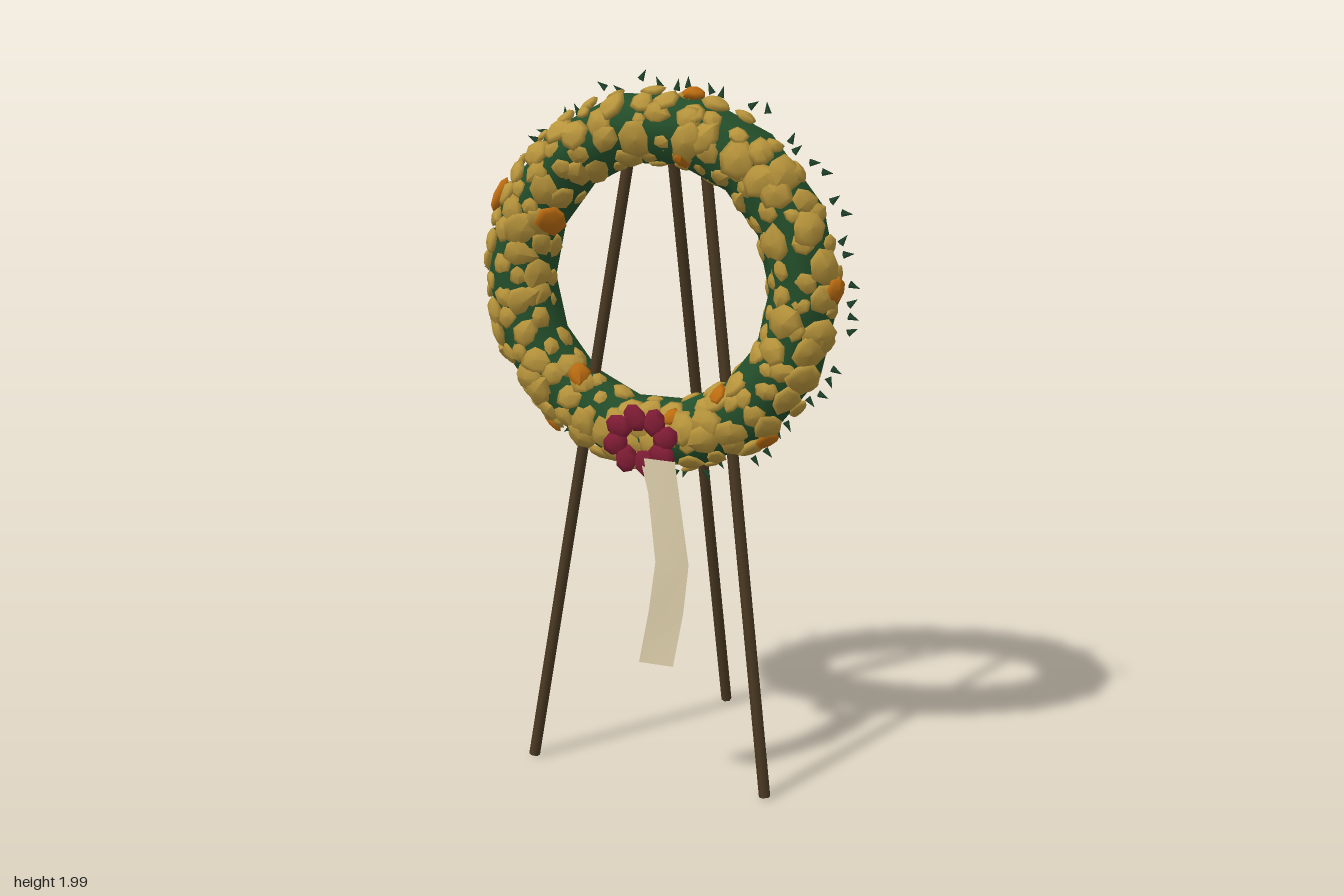
import * as THREE from 'three';

const mat = (name, color, side = THREE.FrontSide) => {
  const m = new THREE.MeshStandardMaterial({ color, side });
  m.name = name;
  return m;
};

export function createModel() {
  const model = new THREE.Group();
  model.name = 'wreathOnEasel';
  const mats = {
    moss: mat('mossGreen', 0x24502b),
    leaf: mat('leafGreen', 0x234a30, THREE.DoubleSide),
    gold: mat('goldBlossom', 0xb8953c),
    orange: mat('orangeBlossom', 0xbc6c10),
    red: mat('crimsonBow', 0x831d36),
    wood: mat('darkWood', 0x4a3922),
    cream: mat('creamRibbon', 0xdccdaa, THREE.DoubleSide),
  };
  let seed = 17;
  const rand = (a = 0, b = 1) => {
    seed = (seed * 16807) % 2147483647;
    return a + (b - a) * (seed / 2147483647);
  };
  const up = new THREE.Vector3(0, 1, 0);
  const add = (parent, name, geo, material) => {
    const m = new THREE.Mesh(geo, material);
    m.name = name;
    parent.add(m);
    return m;
  };
  const group = (name, parent = model) => {
    const g = new THREE.Group();
    g.name = name;
    parent.add(g);
    return g;
  };

  // Easel: three slim poles meeting behind the ring
  const easel = group('easel');
  const pole = (name, foot, top) => {
    const a = new THREE.Vector3(...foot), b = new THREE.Vector3(...top);
    const leg = add(easel, name, new THREE.CylinderGeometry(0.016, 0.016, a.distanceTo(b), 6), mats.wood);
    leg.position.copy(a).lerp(b, 0.5);
    leg.quaternion.setFromUnitVectors(up, b.sub(a).normalize());
  };
  pole('frontLegLeft', [0.363, 0.004, 0.278], [0.108, 1.79, 0.12]);
  pole('frontLegRight', [-0.363, 0.004, 0.278], [-0.108, 1.79, 0.12]);
  pole('backLeg', [0, 0.004, -0.342], [0, 1.79, 0.09]);

  // Ring of moss
  const R = 0.425, T = 0.097;
  const wreath = group('wreath');
  wreath.position.set(0, 1.415, 0.177);
  add(wreath, 'mossRing', new THREE.TorusGeometry(R, T, 9, 14), mats.moss);

  // Flattened, slightly uneven blossoms covering the front half of the ring
  const blossomGeos = [0, 1, 2].map(() => {
    const g = new THREE.SphereGeometry(1, 7, 4);
    const p = g.attributes.position;
    const wobble = Array.from({ length: 7 }, () => rand(0.84, 1.12));
    for (let i = 0; i < p.count; i++) {
      const k = wobble[(i % 8) % 7];
      p.setXYZ(i, p.getX(i) * k, p.getY(i) * 0.36, p.getZ(i) * k);
    }
    g.computeVertexNormals();
    return g;
  });
  const blossoms = group('blossoms', wreath);
  const blossom = (theta, phi, size, material) => {
    // phi is measured from the front: positive leans outward
    const out = Math.sin(phi), fwd = Math.cos(phi);
    const n = new THREE.Vector3(out * Math.cos(theta), out * Math.sin(theta), fwd);
    const r = R + out * T;
    const b = add(blossoms, 'blossom', blossomGeos[Math.floor(rand(0, 2.999))], material);
    b.position.set(r * Math.cos(theta), r * Math.sin(theta), fwd * T * 0.92);
    b.quaternion.setFromUnitVectors(up, n);
    b.rotateY(rand(0, 6.28));
    b.rotateX(rand(-0.2, 0.2));
    b.scale.set(size, size * rand(0.8, 1.05), size * rand(0.85, 1.05));
  };
  // [lean, count, smallest, largest]
  const rows = [
    [-1.4, 24, 0.024, 0.044], [-0.85, 30, 0.026, 0.05], [-0.3, 34, 0.025, 0.056],
    [0.25, 36, 0.024, 0.056], [0.75, 38, 0.024, 0.052], [1.25, 34, 0.022, 0.045],
  ];
  rows.forEach(([phi, count, lo, hi], j) => {
    for (let i = 0; i < count; i++) {
      const theta = ((i + j * 0.5 + rand(-0.3, 0.3)) / count) * Math.PI * 2;
      blossom(theta, phi + rand(-0.16, 0.16), rand(lo, hi), mats.gold);
    }
  });
  // Orange accents: [x, y, size] around the ring centre
  const accents = [
    [-0.465, 0.22, 0.052], [-0.305, 0.165, 0.048], [0.115, 0.51, 0.036], [-0.225, -0.265, 0.042],
    [-0.315, -0.41, 0.036], [0.205, -0.29, 0.034], [0.34, -0.415, 0.04], [0.515, 0.015, 0.036],
    [0.1, 0.345, 0.03], [0.07, -0.36, 0.03],
  ];
  accents.forEach(([x, y, size]) => {
    const lean = THREE.MathUtils.clamp((Math.hypot(x, y) - R) / T, -0.98, 0.95);
    blossom(Math.atan2(y, x), Math.asin(lean), size, mats.orange);
    blossoms.children.at(-1).translateY(0.008);
  });

  // Tiny leaf tips around the rim
  const leaves = group('leafTips', wreath);
  const tipGeo = new THREE.ConeGeometry(0.012, 0.032, 3);
  for (let i = 0; i < 30; i++) {
    const a = (i / 30) * Math.PI * 2 + rand(-0.05, 0.05);
    for (const s of [-1, 1]) {
      const t = a + s * rand(0.025, 0.045), r = rand(0.527, 0.562);
      const tip = add(leaves, 'leafTip', tipGeo, mats.leaf);
      tip.position.set(r * Math.cos(t), r * Math.sin(t), rand(-0.05, -0.03));
      tip.rotation.z = t - Math.PI / 2 + rand(-0.7, 0.7);
      tip.scale.z = 0.4;
    }
  }

  // Bow: a rosette of puffed loops
  const bow = group('bow');
  bow.position.set(0.005, 1.0, 0.317);
  const loopGeo = new THREE.SphereGeometry(1, 6, 4);
  for (let i = 0; i < 8; i++) {
    const a = (i / 8) * Math.PI * 2 + 0.2;
    const loop = add(bow, 'bowLoop', loopGeo, mats.red);
    loop.position.set(0.076 * Math.cos(a), 0.064 * Math.sin(a), 0);
    loop.rotation.z = a + 0.35;
    loop.scale.set(0.041, 0.033, 0.013);
  }

  // Ribbon tail: a thin, gently twisted strip; [left x, right x, y, left z, right z]
  const stations = [
    [0.008, 0.115, 0.955, 0.326, 0.334], [0.035, 0.128, 0.86, 0.332, 0.334],
    [0.062, 0.157, 0.67, 0.346, 0.337], [0.045, 0.143, 0.53, 0.354, 0.342],
    [0.016, 0.118, 0.378, 0.357, 0.355],
  ];
  const pos = [], index = [];
  stations.forEach(([xl, xr, y, zl, zr], i) => {
    pos.push(xl, y, zl, xr, y, zr);
    const k = i * 2;
    if (i) index.push(k - 2, k, k - 1, k - 1, k, k + 1);
  });
  const ribbon = new THREE.BufferGeometry();
  ribbon.setAttribute('position', new THREE.Float32BufferAttribute(pos, 3));
  ribbon.setIndex(index);
  ribbon.computeVertexNormals();
  add(model, 'ribbonTail', ribbon, mats.cream);

  return model;
}
